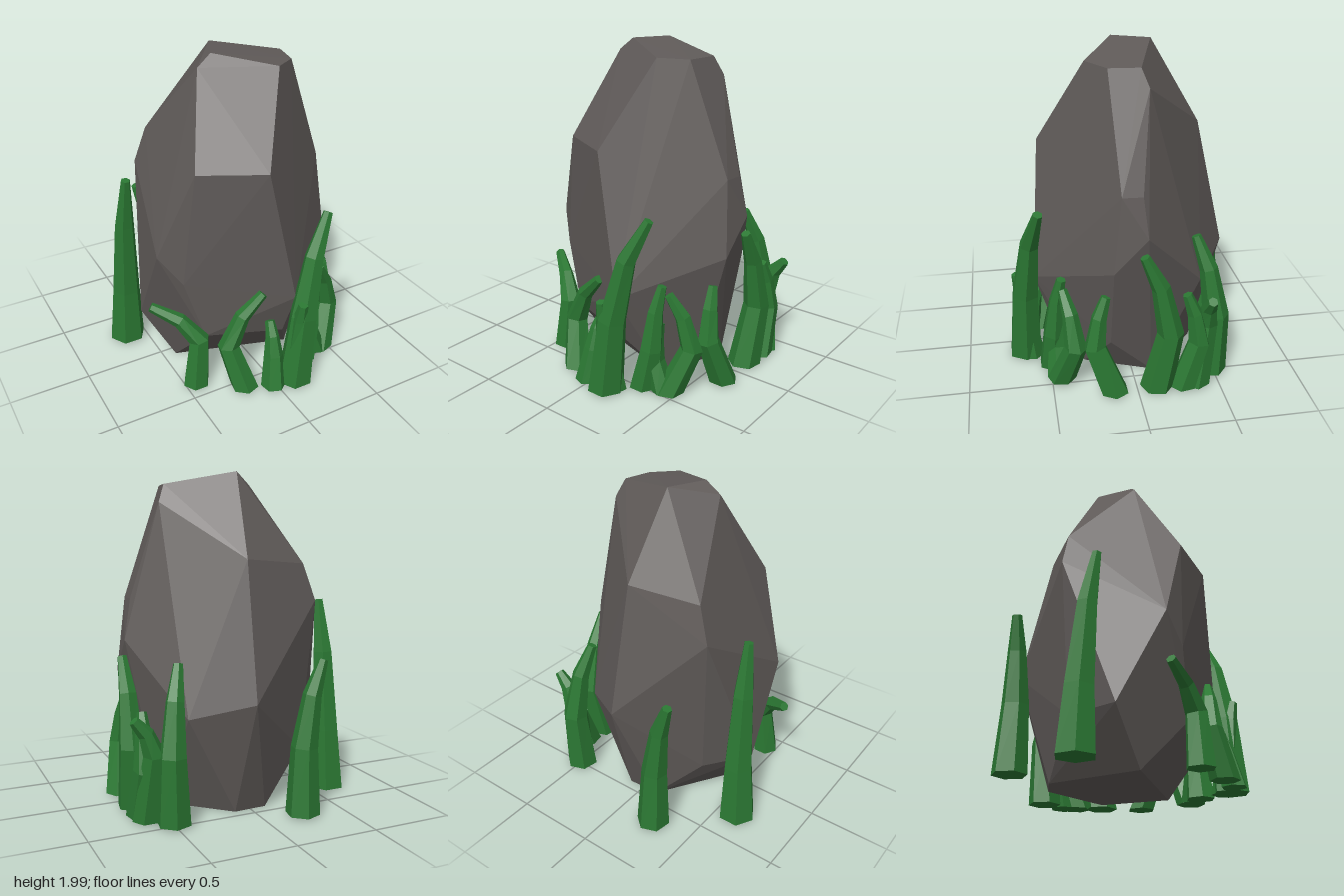
import * as THREE from 'three';
import { ConvexGeometry } from 'three/addons/geometries/ConvexGeometry.js';

const SIDES = 6;

// Blade: rings at the root, bend, knuckle and tip, tapering upwards
function bladeGeometry([rootX, rootZ, bendX, bendY, bendZ, tipX, tipY, tipZ], turn) {
  const root = new THREE.Vector3(rootX, 0.025, rootZ);
  const bend = new THREE.Vector3(bendX, bendY, bendZ);
  const tip = new THREE.Vector3(tipX, tipY, tipZ);
  const knuckle = bend.clone().lerp(tip, 0.4);
  knuckle.y = THREE.MathUtils.lerp(bend.y, tip.y, 0.6);
  const path = [root, bend, knuckle, tip];
  const width = 0.056 + 0.05 * tipY;
  const radii = [width, width * 0.78, width * 0.54, 0.029];

  const up = new THREE.Vector3(0, 1, 0);
  const positions = [];
  const index = [];
  path.forEach((point, i) => {
    const tangent = up.clone();
    if (i > 0) tangent.subVectors(path[Math.min(i + 1, 3)], path[i - 1]).normalize();
    const tilt = new THREE.Quaternion().setFromUnitVectors(up, tangent);
    for (let s = 0; s < SIDES; s++) {
      const a = (s / SIDES) * Math.PI * 2 + turn;
      const v = new THREE.Vector3(Math.cos(a), 0, Math.sin(a)).multiplyScalar(radii[i]);
      positions.push(...v.applyQuaternion(tilt).add(point).toArray());
    }
  });

  // Side quads, then fans for the two end caps
  const last = 3 * SIDES;
  for (let s = 0; s < SIDES; s++) {
    const n = (s + 1) % SIDES;
    for (let r = 0; r < last; r += SIDES) {
      index.push(r + s, r + SIDES + s, r + n, r + n, r + SIDES + s, r + SIDES + n);
    }
    if (s > 0 && s < SIDES - 1) index.push(0, s, n, last, last + n, last + s);
  }
  const geometry = new THREE.BufferGeometry();
  geometry.setAttribute('position', new THREE.Float32BufferAttribute(positions, 3));
  geometry.setIndex(index);
  const flat = geometry.toNonIndexed();
  flat.computeVertexNormals();
  return flat;
}

// Corners of the boulder, level by level
const CROWN = [
  [-0.22, 1.93, 0.05], [-0.13, 2, 0.04], [-0.025, 2, -0.18], [0.2, 1.93, 0.24],
  [0.35, 1.92, 0.13], [0.385, 1.925, -0.05], [0.43, 1.82, -0.09],
];
const SHOULDERS = [
  [-0.01, 1.42, 0.51], [-0.38, 1.42, 0.32], [-0.38, 1.46, -0.36], [-0.45, 1.24, -0.39],
  [0.04, 1.5, -0.465], [0.59, 1.26, 0.09], [0.595, 1.26, -0.03],
];
const WAIST = [
  [0.64, 1.02, -0.055], [0.63, 0.81, 0.14], [-0.58, 0.88, 0.2], [-0.46, 0.71, 0.3],
  [0.06, 0.7, -0.64], [0.39, 0.6, -0.43], [0.16, 0.58, 0.57],
];
const FOOT = [
  [-0.59, 0.33, -0.08], [-0.39, 0.32, -0.33], [-0.34, 0.32, 0.34], [0.13, 0.29, 0.48],
  [0.49, 0.27, 0.14],
];
// The underside is flat, so only x and z are given
const UNDERSIDE = [[-0.1, -0.43], [-0.42, 0.06], [0.28, 0.28], [0.44, -0.12], [0.1, -0.44]];

// Blades: root x, z; bend x, y, z; tip x, y, z
const BACK_AND_LEFT_BLADES = [
  [-0.62, -0.28, -0.61, 0.4, -0.27, -0.595, 1.22, -0.19],
  [-0.24, -0.64, -0.25, 0.42, -0.63, -0.36, 0.93, -0.64],
];
const FRONT_BLADES = [
  [-0.43, 0.38, -0.4, 0.34, 0.37, -0.64, 0.56, 0.21],
  [-0.18, 0.55, -0.25, 0.3, 0.47, -0.03, 0.63, 0.5],
  [-0.02, 0.63, 0, 0.22, 0.59, 0.01, 0.43, 0.52],
  [0.13, 0.64, 0.18, 0.48, 0.63, 0.38, 1.1, 0.54],
  [0.16, 0.61, 0.14, 0.3, 0.64, 0.14, 0.6, 0.68],
];
const CORNER_BLADES = [
  [0.29, 0.48, 0.34, 0.28, 0.47, 0.38, 0.67, 0.42],
  [0.45, 0.44, 0.55, 0.3, 0.36, 0.43, 0.63, 0.42],
  [0.41, 0.45, 0.35, 0.2, 0.45, 0.35, 0.42, 0.4],
];
const RIGHT_BLADES = [
  [0.63, 0.14, 0.59, 0.32, 0.25, 0.57, 0.64, 0.18],
  [0.62, -0.12, 0.65, 0.41, -0.19, 0.65, 0.92, -0.03],
  [0.63, -0.28, 0.63, 0.32, -0.37, 0.62, 0.64, -0.29],
  [0.62, -0.36, 0.59, 0.42, -0.42, 0.71, 0.63, -0.42],
  [0.5, -0.48, 0.51, 0.42, -0.5, 0.43, 0.92, -0.38],
];

export function createModel() {
  const model = new THREE.Group();
  const stone = new THREE.MeshStandardMaterial({ color: 0x5f5a58, flatShading: true });
  stone.name = 'stone grey';
  const green = new THREE.MeshStandardMaterial({ color: 0x2b7833, flatShading: true });
  green.name = 'grass green';

  // Boulder: faceted convex hull of its corners
  const corners = [CROWN, SHOULDERS, WAIST, FOOT].flat().map((c) => new THREE.Vector3(...c));
  UNDERSIDE.forEach(([x, z]) => corners.push(new THREE.Vector3(x, 0.015, z)));
  const boulder = new THREE.Mesh(new ConvexGeometry(corners), stone);
  boulder.name = 'boulder';
  model.add(boulder);

  // Grass blades around the foot, one group per side
  const tufts = {
    backAndLeftGrass: BACK_AND_LEFT_BLADES,
    frontGrass: FRONT_BLADES,
    cornerGrass: CORNER_BLADES,
    rightGrass: RIGHT_BLADES,
  };
  for (const [name, blades] of Object.entries(tufts)) {
    const tuft = new THREE.Group();
    tuft.name = name;
    blades.forEach((blade, i) => {
      const mesh = new THREE.Mesh(bladeGeometry(blade, i * 0.7), green);
      mesh.name = 'grassBlade' + (i + 1);
      tuft.add(mesh);
    });
    model.add(tuft);
  }
  return model;
}
